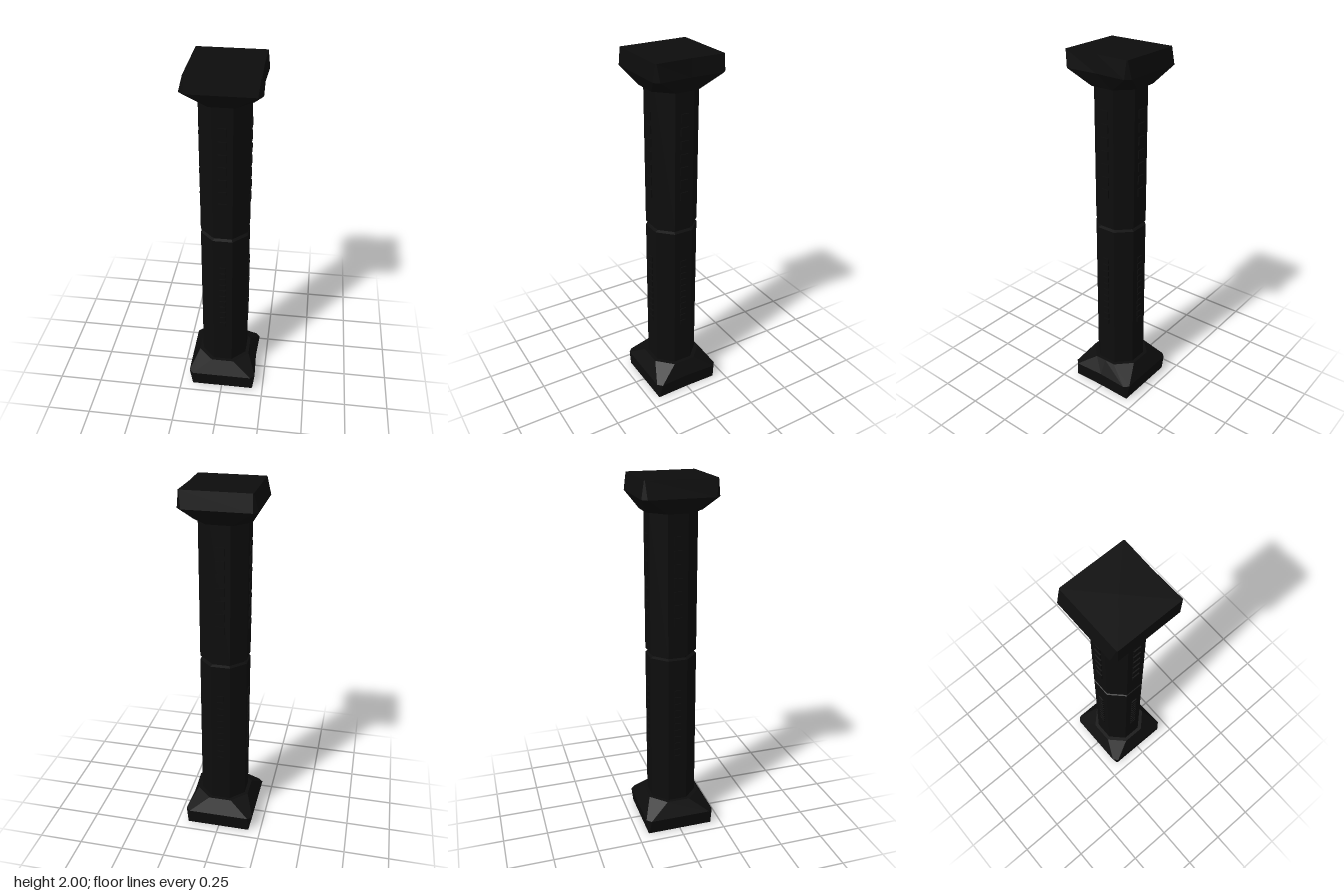
import * as THREE from 'three';

const charcoal = new THREE.MeshStandardMaterial({ color: 0x0d0d0d });
charcoal.name = 'charcoal';

// Mesh with one hard normal per face
function faceted(geometry, name) {
  const g = geometry.index ? geometry.toNonIndexed() : geometry;
  g.computeVertexNormals();
  const mesh = new THREE.Mesh(g, charcoal);
  mesh.name = name;
  return mesh;
}

// Square outline with cut corners and a slightly hollow +x side
function ring(y, x0, x1, z0, z1, c, pinch = 0) {
  return [
    [x0 + c, z1], [x1 - c, z1], [x1, z1 - c], [x1 - pinch, 0], [x1, z0 + c],
    [x1 - c, z0], [x0 + c, z0], [x0, z0 + c], [x0, z1 - c],
  ].map(([x, z]) => [x, y, z]);
}

// Closed solid through a stack of rings, bottom to top
function loft(rings) {
  const pos = [];
  const tri = (a, b, c) => pos.push(...a, ...b, ...c);
  const n = rings[0].length;
  const last = rings[rings.length - 1];
  const bottom = [0, rings[0][0][1], 0];
  const top = [0, last[0][1], 0];
  for (let i = 0; i < n; i++) {
    const j = (i + 1) % n;
    for (let r = 0; r < rings.length - 1; r++) {
      const lo = rings[r], hi = rings[r + 1];
      tri(lo[i], lo[j], hi[i]);
      tri(lo[j], hi[j], hi[i]);
    }
    tri(bottom, rings[0][j], rings[0][i]);
    tri(top, last[i], last[j]);
  }
  const g = new THREE.BufferGeometry();
  g.setAttribute('position', new THREE.Float32BufferAttribute(pos, 3));
  return g;
}

export function createModel() {
  const model = new THREE.Group();
  model.name = 'pillar';

  // Foot block
  model.add(faceted(loft([
    ring(0, -0.18, 0.188, -0.188, 0.193, 0.004, 0.004),
    ring(0.09, -0.2, 0.2, -0.2, 0.2, 0.025, 0.008),
    ring(0.17, -0.15, 0.15, -0.15, 0.15, 0.085),
  ]), 'footBlock'));

  // Head block
  model.add(faceted(loft([
    ring(1.83, -0.15, 0.15, -0.15, 0.15, 0.085),
    ring(1.91, -0.2, 0.2, -0.201, 0.201, 0.025, 0.008),
    ring(2, -0.175, 0.19, -0.186, 0.194, 0.004, 0.004),
  ]), 'headBlock'));

  // Eight-sided shaft with a narrow groove at mid height
  const profile = [[0.13, 0.16], [0.13, 1.043], [0.113, 1.05], [0.113, 1.06], [0.13, 1.067], [0.13, 1.84]]
    .map(([r, y]) => new THREE.Vector2(r / Math.cos(Math.PI / 8), y));
  const shaft = new THREE.LatheGeometry(profile, 8);
  shaft.rotateY(Math.PI / 8);
  model.add(faceted(shaft, 'shaft'));

  // Columns of plain raised tiles on the four main faces
  const bands = [
    { start: 1.262, pitch: 0.0715, count: 7, height: 0.045, width: 0.045 },
    { start: 0.448, pitch: 0.0404, count: 11, height: 0.028, width: 0.035 },
  ];
  for (let side = 0; side < 4; side++) {
    const face = new THREE.Group();
    face.name = 'raisedTiles';
    face.rotation.y = side * Math.PI / 2;
    for (const b of bands) {
      for (let i = 0; i < b.count; i++) {
        const tile = faceted(new THREE.BoxGeometry(b.width, b.height, 0.009), 'tile');
        tile.position.set(0, b.start + i * b.pitch, 0.132);
        face.add(tile);
      }
    }
    model.add(face);
  }
  return model;
}
